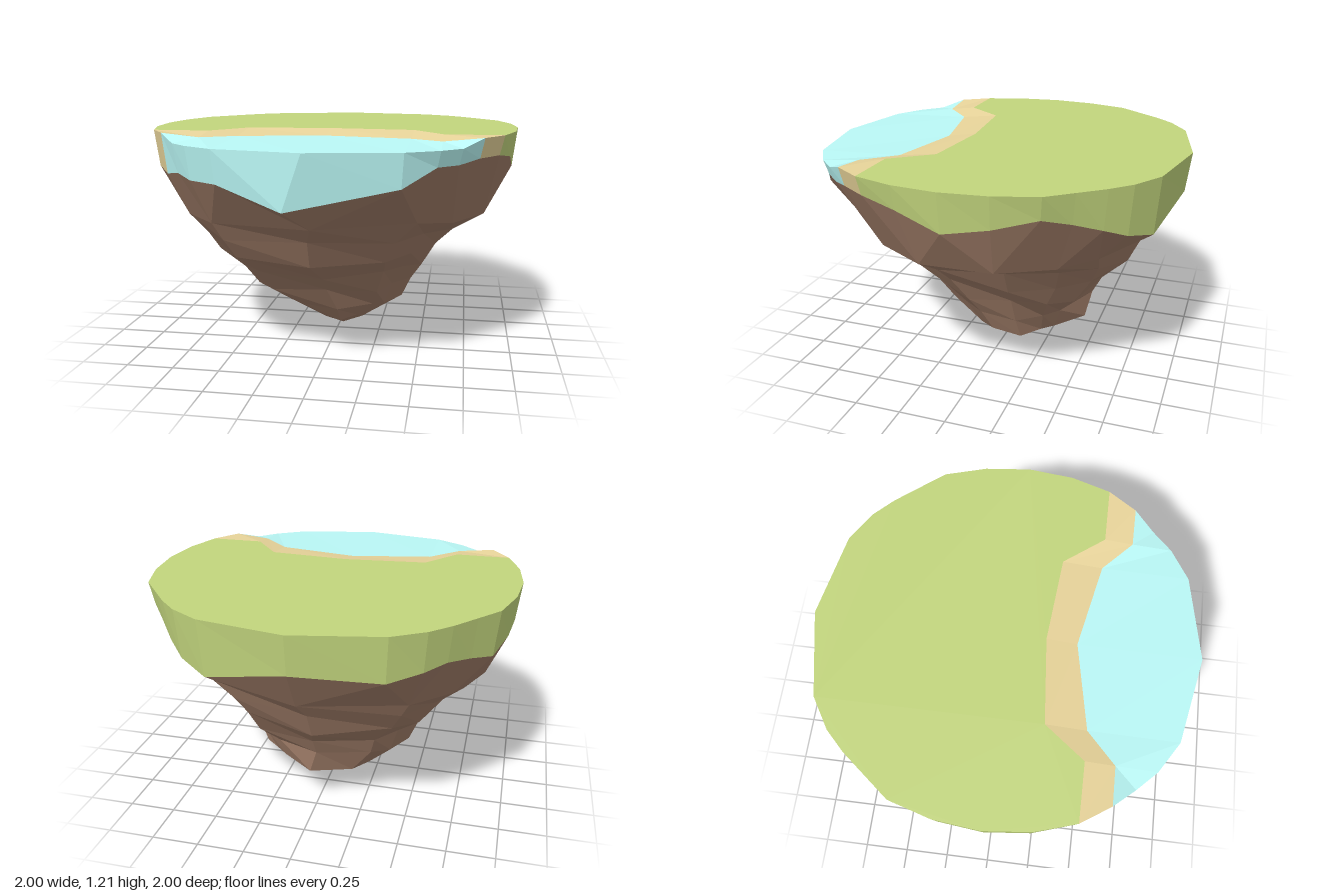
import * as THREE from 'three';

const TOP = 1.21, WATER = 1.17;

// Outline of the island from front to back along +x; mirrored for -x
const HALF = [[0, 1], [0.45, 0.91], [0.61, 0.81], [0.71, 0.71], [0.81, 0.6], [0.91, 0.45], [0.975, 0.24], [1, 0],
  [0.975, -0.24], [0.91, -0.46], [0.81, -0.585], [0.71, -0.71], [0.61, -0.81], [0.45, -0.91], [0, -1]];
const OUTLINE = [...HALF, ...HALF.slice(1, -1).reverse().map(([x, z]) => [-x, z])];
const N = OUTLINE.length;

// Height of the ragged lower edge of the wall, per outline point
const EDGE = [0.89, 1, 1.09, 1.09, 1.11, 1.11, 1.08, 1, 1.04, 1.09, 1.05, 1, 0.95, 0.91,
  1, 0.97, 1, 1.02, 1, 0.97, 1, 1, 1, 1.02, 1, 1.02, 1, 1];

// Rock cross-sections: y, min x, max x, min z, max z, height jitter,
// and the fullness of the front left, back left, back right and front right corners
const SECTIONS = [
  [0.775, -0.87, 0.88, -0.87, 0.85, 0.015, [0.94, 0.93, 0.99, 1]],
  [0.68, -0.75, 0.69, -0.79, 0.75, 0.02, [0.95, 0.97, 1, 1.04]],
  [0.56, -0.66, 0.59, -0.71, 0.65, 0.025, [0.96, 0.99, 1, 1.08]],
  [0.44, -0.52, 0.52, -0.58, 0.46, 0.025, [0.96, 1, 1, 1.14]],
  [0.32, -0.47, 0.46, -0.52, 0.35, 0.02, [0.92, 0.88, 1, 1.1]],
  [0.2, -0.34, 0.42, -0.49, 0.26, 0.015, [0.8, 0.78, 0.95, 0.95]],
  [0.1, -0.14, 0.22, -0.3, 0.14, 0.01, [0.8, 0.8, 0.9, 0.9]],
];

function seeded(seed) {
  return () => {
    seed = (seed * 16807) % 2147483647;
    return seed / 2147483647;
  };
}

function mesh(name, color, geometry) {
  const m = new THREE.Mesh(geometry, new THREE.MeshStandardMaterial({ color, flatShading: true }));
  m.name = name;
  return m;
}

function fromTriangles(tris) {
  const g = new THREE.BufferGeometry();
  g.setAttribute('position', new THREE.Float32BufferAttribute(tris.flat(2), 3));
  g.computeVertexNormals();
  return g;
}

// Triangles between an upper (or far) row a and a lower (or near) row b
function strip(a, b) {
  const tris = [];
  for (let i = 0; i < a.length - 1; i++) {
    tris.push([a[i], b[i], b[i + 1]]);
    if (a[i] !== a[i + 1]) tris.push([a[i], b[i + 1], a[i + 1]]);
  }
  return tris;
}

const closed = (row) => [...row, row[0]];
const mirrored = (row) => [...row.map(([x, y, z]) => [-x, y, z]).reverse(), ...row.slice(1)];

export function createModel() {
  const island = new THREE.Group();
  island.name = 'floatingIsland';
  const GRASS = 0xc2d57d, SAND = 0xe8d49a, BLUE = 0xbaf8f6, ROCK = 0xa07d68;

  // Rim rows of the wall; the water end dips below the grass
  const rim = OUTLINE.map(([x, z], i) => [x, i < 4 || i > N - 4 ? WATER : TOP, z]);
  const edge = OUTLINE.map(([x, z], i) => [i === 0 ? -0.1 : x * 0.975, EDGE[i], z * 0.975]);
  const arc = (row, from, to) => Array.from({ length: to - from + 1 }, (_, i) => row[(from + i + N) % N]);
  const wall = (from, to) => strip(arc(rim, from, to), arc(edge, from, to));

  // Grass: flat top with the bay cut out, plus its wall
  const bay = mirrored([[0, TOP, 0.2], [0.45, TOP, 0.24], [0.61, TOP, 0.45], [0.91, TOP, 0.45]]);
  const lawn = new THREE.Shape([...bay, ...arc(rim, 6, 22)].map(([x, , z]) => new THREE.Vector2(x, -z)));
  const lawnGeometry = new THREE.ShapeGeometry(lawn).rotateX(-Math.PI / 2).translate(0, TOP, 0);
  island.add(mesh('grassTop', GRASS, lawnGeometry));
  island.add(mesh('grassWall', GRASS, fromTriangles(wall(5, 23))));

  // Beach: sloping band between grass and water
  const shore = mirrored([[0, 1.185, 0.36], [0.45, 1.185, 0.45], [0.61, 1.19, 0.6], rim[4]]);
  island.add(mesh('beach', SAND, fromTriangles([...strip(bay, shore), ...wall(4, 5), ...wall(-5, -4)])));

  // Water: surface from the shore to the front rim, plus its wall
  const [s0, s1, s2, s3, s4, s5, s6] = shore;
  const inner = [s0, s1, s1, s2, s3, s4, s5, s5, s6];
  island.add(mesh('water', BLUE, fromTriangles([...strip(inner, arc(rim, -4, 4)), ...wall(-4, 4)])));

  // Rock: irregular rings shrinking to an off-centre tip, with half the columns of the rim
  const rand = seeded(37);
  const rings = SECTIONS.map(([y, x0, x1, z0, z1, jitter, corners]) =>
    OUTLINE.filter((_, i) => i % 2 === 0).map(([x, z]) => {
      const corner = corners[x >= 0 ? (z >= 0 ? 0 : 1) : (z >= 0 ? 3 : 2)];
      const diagonal = Math.abs(2 * x * z);
      const r = 1 + (corner - 1) * diagonal - 0.04 * rand();
      return [
        (x0 + x1) / 2 + (x / 0.975) * r * (x1 - x0) / 2,
        y + (rand() * 2 - 1) * jitter,
        (z0 + z1) / 2 + z * r * (z1 - z0) / 2,
      ];
    }));
  const rock = [];
  rings[0].forEach((p, k) => {
    const next = rings[0][(k + 1) % rings[0].length];
    const [a, b, c] = arc(edge, 2 * k, 2 * k + 2);
    rock.push([a, p, b], [b, p, next], [b, next, c]);
  });
  for (let i = 0; i < rings.length - 1; i++) rock.push(...strip(closed(rings[i]), closed(rings[i + 1])));
  const last = closed(rings[rings.length - 1]);
  for (let i = 0; i < last.length - 1; i++) rock.push([last[i], [0.02, 0, -0.1], last[i + 1]]);
  island.add(mesh('rockBase', ROCK, fromTriangles(rock)));

  return island;
}
